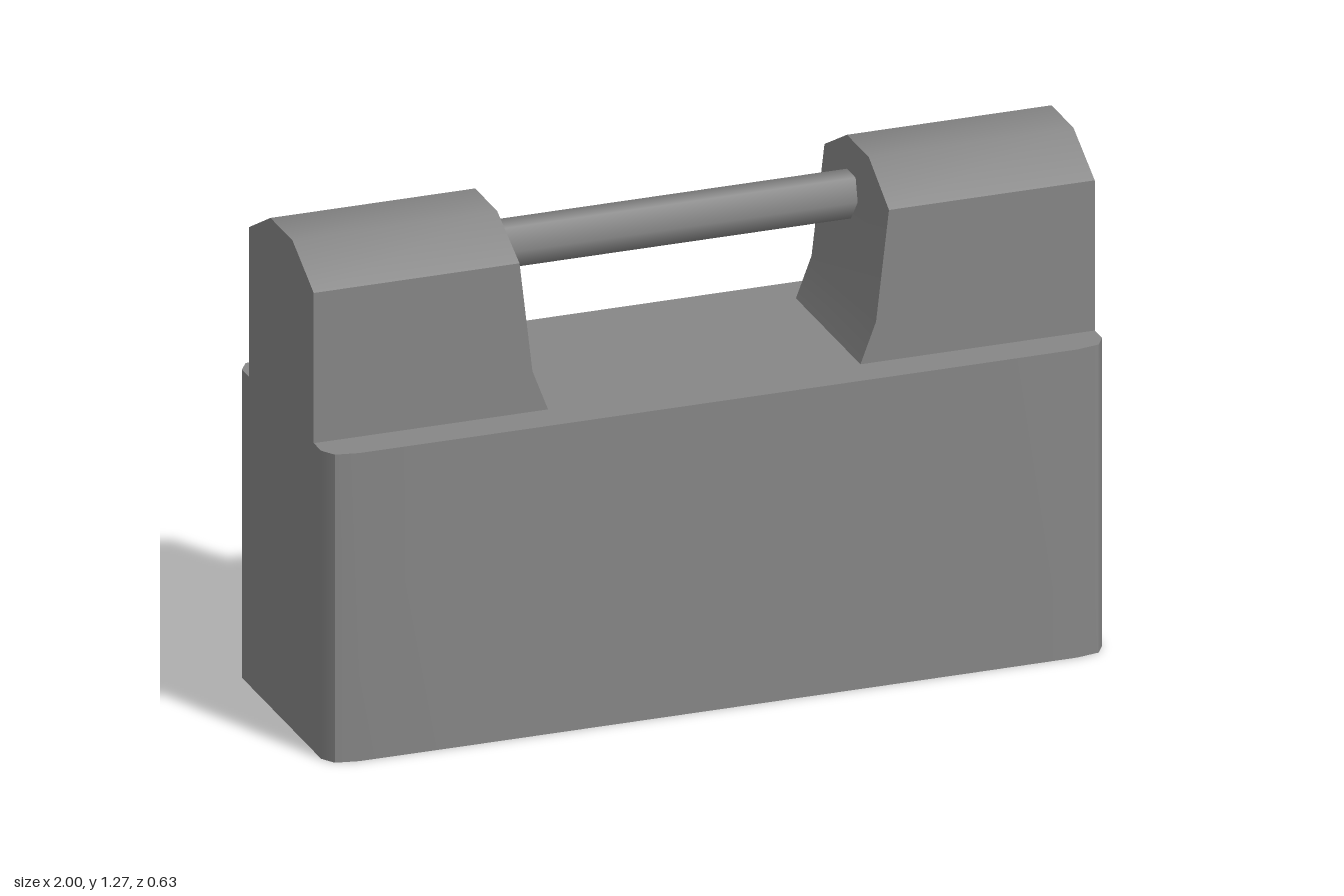
import * as THREE from 'three';
import { toCreasedNormals } from 'three/addons/utils/BufferGeometryUtils.js';

const CREASE = 0.65;

export function createModel() {
  const group = new THREE.Group();
  const material = new THREE.MeshStandardMaterial({ color: 0x868686 });
  const add = (geometry, name) => {
    const mesh = new THREE.Mesh(geometry, material);
    mesh.name = name;
    group.add(mesh);
    return mesh;
  };

  // Body: upright block with softened vertical corners
  const corner = [[1, 0.2], [1, 0.27], [0.978, 0.305], [0.92, 0.316], [0.65, 0.317]];
  const reversed = [...corner].reverse();
  const outline = [
    ...corner,
    ...reversed.map(([x, z]) => [-x, z]),
    ...corner.map(([x, z]) => [-x, -z]),
    ...reversed.map(([x, z]) => [x, -z]),
  ].map(([x, z]) => new THREE.Vector2(x, z));
  const body = new THREE.ExtrudeGeometry(new THREE.Shape(outline), { depth: 0.8, bevelEnabled: false });
  body.rotateX(-Math.PI / 2);
  add(toCreasedNormals(body, CREASE), 'body');

  // Posts: each row is [height, half depth, inner x], chamfered on top
  const rows = [[0.8, 0.22, 0.4], [0.905, 0.22, 0.44], [1.19, 0.22, 0.473], [1.27, 0.075, 0.476]];
  function postGeometry(side) {
    const geometry = new THREE.BoxGeometry(1, 1, 1, 1, rows.length - 1, 1);
    const p = geometry.attributes.position;
    for (let i = 0; i < p.count; i++) {
      const [y, halfDepth, inner] = rows[Math.round((p.getY(i) + 0.5) * (rows.length - 1))];
      const x = p.getX(i) * side > 0 ? 1 : inner;
      p.setXYZ(i, side * x, y, Math.sign(p.getZ(i)) * halfDepth);
    }
    return toCreasedNormals(geometry, CREASE);
  }
  add(postGeometry(1), 'leftPost');
  add(postGeometry(-1), 'rightPost');

  // Handle bar: six-sided rod set slightly behind the centre line
  const bar = new THREE.CylinderGeometry(0.06, 0.06, 0.95, 6);
  bar.rotateZ(Math.PI / 2);
  const handle = add(bar, 'handleBar');
  handle.position.set(0, 1.134, -0.036);

  return group;
}
